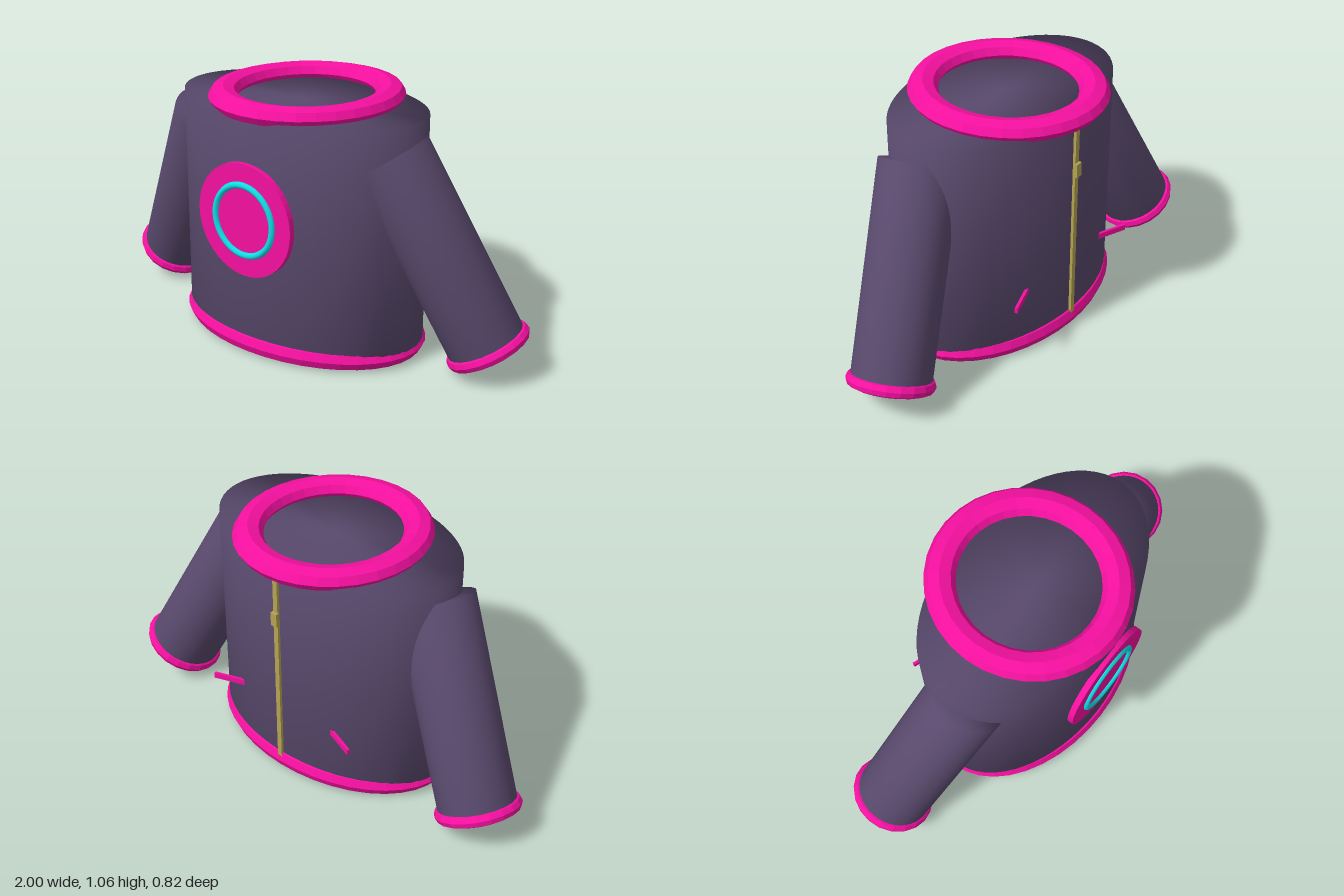
import * as THREE from 'three';
import { mergeVertices } from 'three/addons/utils/BufferGeometryUtils.js';

const mat = (color, extra = {}) => new THREE.MeshStandardMaterial({ color, ...extra });

export function createModel() {
  const model = new THREE.Group();
  model.name = 'jacket';
  const cloth = mat(0x5a4a6e);
  const trim = mat(0xf510a0, { flatShading: true });
  const glow = mat(0x10dfe8);
  const metal = mat(0xb5a452);

  const add = (parent, name, geometry, material, x = 0, y = 0, z = 0) => {
    const mesh = new THREE.Mesh(geometry, material);
    mesh.name = name;
    mesh.position.set(x, y, z);
    parent.add(mesh);
    return mesh;
  };

  // Closed tube whose wall and caps share soft normals
  const softTube = (radius, height, sides) => {
    const g = new THREE.CylinderGeometry(radius, radius, height, sides);
    g.deleteAttribute('normal');
    g.deleteAttribute('uv');
    const welded = mergeVertices(g);
    welded.computeVertexNormals();
    return welded;
  };

  // Faceted ring lying flat around the y axis
  const ring = (radius, tube, sides) =>
    new THREE.TorusGeometry(radius, tube, 8, sides).rotateX(Math.PI / 2);

  // Torso with hem and collar
  const midZ = 0.025;
  add(model, 'torso', softTube(1, 0.95, 64).scale(0.56, 1, 0.355), cloth, 0, 0.525, midZ);
  add(model, 'hem', ring(0.508, 0.062, 40).scale(1, 0.72, 0.658), trim, 0, 0.045, midZ);
  add(model, 'collar', ring(0.33, 0.06, 32).scale(1, 0.7, 1.05), trim, 0, 1.018, 0);

  // Round chest badge
  add(model, 'badgeDisc', new THREE.CylinderGeometry(0.235, 0.235, 0.025, 48).rotateX(Math.PI / 2),
    trim, 0, 0.587, 0.385);
  add(model, 'badgeRing', new THREE.TorusGeometry(0.146, 0.014, 8, 48), glow, 0, 0.587, 0.397);

  // Back zip
  add(model, 'zip', new THREE.BoxGeometry(0.022, 0.94, 0.02), metal, 0, 0.53, -0.332);
  add(model, 'zipPull', new THREE.BoxGeometry(0.03, 0.06, 0.016), metal, 0, 0.77, -0.345);

  // Sleeves, cuffs and back tabs on both sides
  for (const side of [1, -1]) {
    const label = side > 0 ? 'left' : 'right';
    const top = new THREE.Vector3(side * 0.46, 0.87, 0.065);
    const wrist = new THREE.Vector3(side * 0.838, 0.117, -0.09);
    const axis = top.clone().sub(wrist);
    const length = axis.length();
    axis.normalize();

    const sleeve = new THREE.Group();
    sleeve.name = label + 'Sleeve';
    sleeve.position.copy(wrist);
    sleeve.quaternion.setFromUnitVectors(new THREE.Vector3(0, 1, 0), axis);
    model.add(sleeve);
    add(sleeve, label + 'Arm', softTube(0.16, length, 40), cloth, 0, length / 2, 0);
    add(sleeve, label + 'Cuff', ring(0.15, 0.028, 20), trim);
    add(sleeve, label + 'CuffLight', new THREE.CylinderGeometry(0.012, 0.012, 0.05, 12), glow,
      side * 0.066, -0.015, 0);

    const tab = add(model, label + 'BackTab', new THREE.BoxGeometry(0.2, 0.025, 0.012), trim,
      side * 0.28, 0.298, -0.303);
    tab.rotation.y = side * 0.35;
  }
  return model;
}
